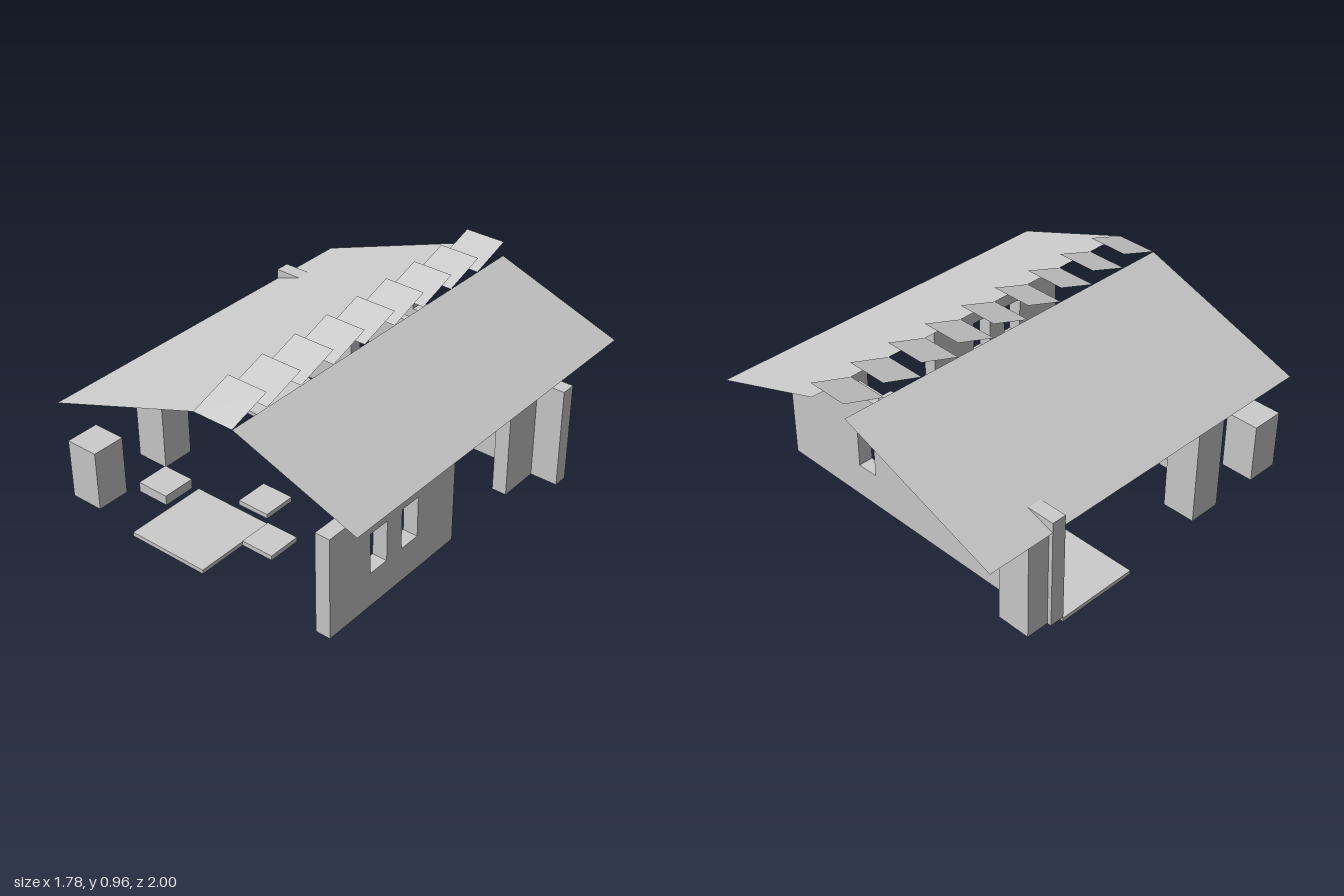
import * as THREE from 'three';

const U = 2 / 9;        // floor grid cell
const T = 0.35 * U;     // wall thickness
const BASE = 0.027;     // underside of walls and furniture
const EAVE = 0.56;      // wall height

export function createModel() {
  const model = new THREE.Group();
  const grey = new THREE.MeshStandardMaterial({ color: 0xcccccc });
  grey.name = 'lightGrey';
  const sheetGrey = grey;
  sheetGrey.side = THREE.DoubleSide;

  const add = (name, geometry, parent = model) => {
    const mesh = new THREE.Mesh(geometry, grey);
    mesh.name = name;
    parent.add(mesh);
    return mesh;
  };

  // box from its minimum and maximum corners
  const box = (name, x0, x1, y0, y1, z0, z1) =>
    add(name, new THREE.BoxGeometry(x1 - x0, y1 - y0, z1 - z0))
      .position.set((x0 + x1) / 2, (y0 + y1) / 2, (z0 + z1) / 2);

  // square block centred in a grid cell
  const block = (name, cx, cz, y1) =>
    box(name, (cx - 0.4) * U, (cx + 0.4) * U, BASE, y1, (cz - 0.4) * U, (cz + 0.4) * U);

  // wall outline with rectangular openings [x0, x1, y0, y1]
  const wall = (name, outline, openings) => {
    const shape = new THREE.Shape(outline.map(([x, y]) => new THREE.Vector2(x, y)));
    for (const [x0, x1, y0, y1] of openings) {
      shape.holes.push(new THREE.Path([
        new THREE.Vector2(x0, y0), new THREE.Vector2(x0, y1),
        new THREE.Vector2(x1, y1), new THREE.Vector2(x1, y0)]));
    }
    return add(name, new THREE.ExtrudeGeometry(shape, { depth: T, bevelEnabled: false }));
  };
  const windowAt = (c) => [c - 0.058, c + 0.058, 0.21, 0.425];

  // thin sheet from four corners
  const sheet = (name, a, b, c, d) => {
    const g = new THREE.BufferGeometry();
    g.setAttribute('position', new THREE.Float32BufferAttribute([a, b, c, a, c, d].flat(), 3));
    g.computeVertexNormals();
    add(name, g);
  };

  // back wall with stepped top, slot and two windows
  const tops = [0.613, 0.64, 0.693, 0.72, 0.693, 0.64, EAVE, EAVE];
  const outline = [[-4 * U, BASE], [4 * U, BASE]];
  for (let i = 7; i >= 0; i--) {
    if (i !== 6) outline.push([(i === 7 ? 4 : i - 3) * U, tops[i]]);
    if (i !== 7) outline.push([(i - 4) * U, tops[i]]);
  }
  wall('backWall', outline, [windowAt(-1.5 * U), windowAt(1.5 * U), [-U + 0.001, -0.001, 0.613, 0.64]])
    .position.z = -2.5 * U - T;

  // side wall with two windows, turned so its length runs along z
  const side = wall('leftSideWall',
    [[-4.5 * U, BASE], [-0.5 * U, BASE], [-0.5 * U, EAVE], [-4.5 * U, EAVE]],
    [windowAt(-3 * U), windowAt(-2 * U)]);
  side.rotation.y = Math.PI / 2;
  side.position.x = 3 * U;
  box('rearSideWall', 3 * U, 3 * U + T, BASE, EAVE, -2.5 * U, -1.5 * U);

  // pillars
  block('shortPillar', -3.5, 4, 0.345);
  block('middlePillar', -3.5, 2, EAVE);
  block('rearPillar', -3.5, -3, EAVE);

  // floor slabs and low blocks
  box('frontFloorSlab', -2 * U, 0, 0, 0.022, 2.5 * U, 4.5 * U);
  box('rearFloorSlab', -4 * U, -2 * U, 0, 0.022, -2.5 * U, -0.5 * U);
  block('tallFloorBlock', -2.5, 3, 0.08);
  block('lowFloorBlock', -0.5, 2, 0.052);
  block('lowFloorBlock', 0.5, 3, 0.052);

  // roof slopes
  sheet('rightRoofSlope', [-4 * U, EAVE, 1], [0, 0.88, 1], [0, 0.88, -1], [-4 * U, EAVE, -1]);
  sheet('leftRoofSlope', [U, 0.88, 1], [4 * U, 0.64, 1], [4 * U, 0.64, -1], [U, 0.88, -1]);

  // row of tilted louvres along the ridge gap
  for (let i = 0; i < 9; i++) {
    const z = 1 - i * U;
    sheet('ridgeLouvre', [0, 0.88, z], [U, 0.88, z], [U, 0.957, z - U], [0, 0.957, z - U]);
  }
  return model;
}
